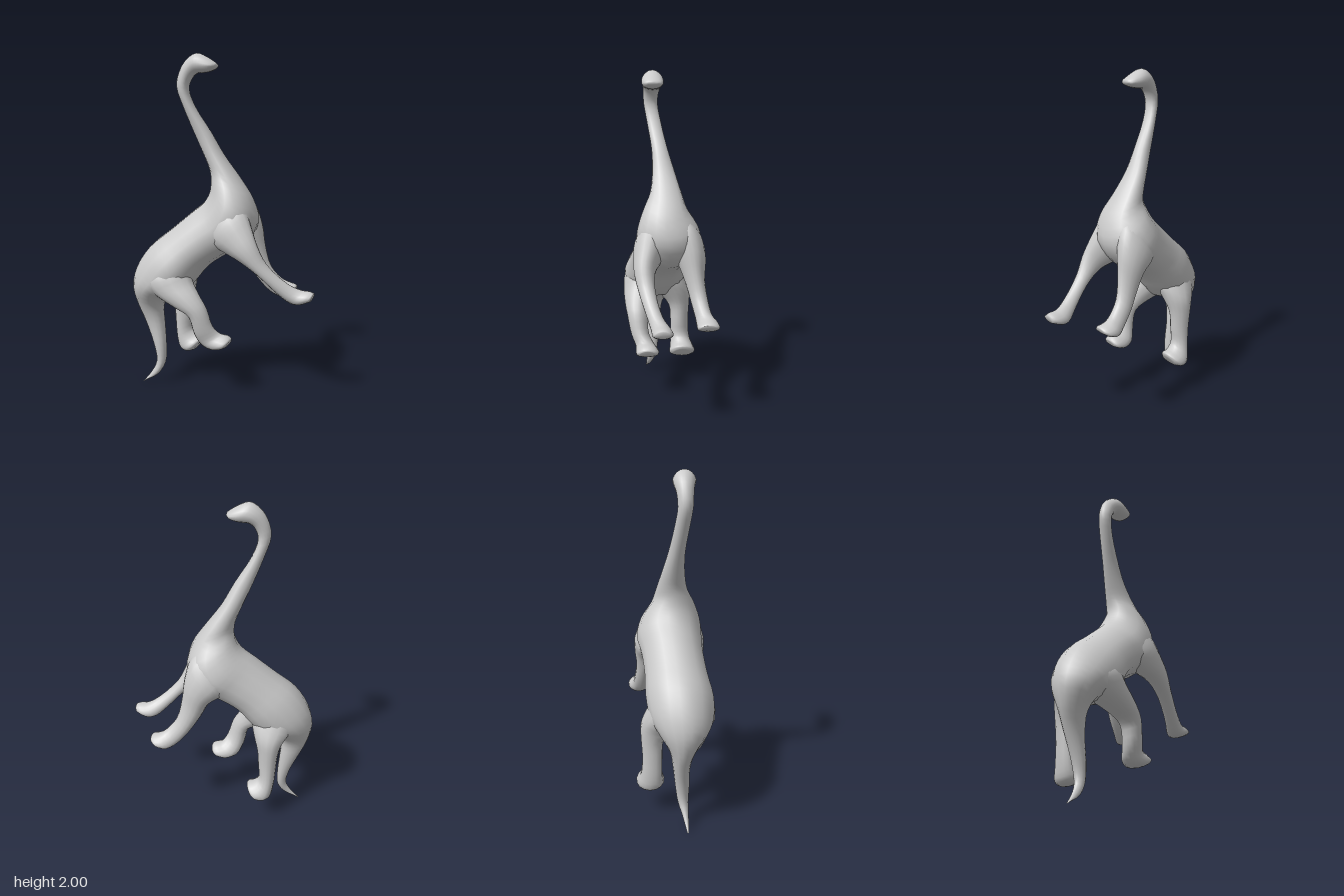
import * as THREE from 'three';

const material = new THREE.MeshStandardMaterial({ color: 0xcccccc });

// Smooth skin over egg-shaped sections, wider towards the belly. Each section is
// [back x, back y, belly x, belly y, centre z, half width in z].
function loft(name, sections, steps = 3, sides = 16) {
  const backs = new THREE.CatmullRomCurve3(sections.map(s => new THREE.Vector3(s[0], s[1], s[4])));
  const bellies = new THREE.CatmullRomCurve3(sections.map(s => new THREE.Vector3(s[2], s[3], s[5])));
  const rings = (sections.length - 1) * steps;
  const pos = [], index = [];
  for (let i = 0; i <= rings; i++) {
    const a = backs.getPoint(i / rings), b = bellies.getPoint(i / rings);
    for (let j = 0; j < sides; j++) {
      const t = (j / sides) * Math.PI * 2, c = Math.cos(t);
      pos.push((a.x + b.x + (a.x - b.x) * c) / 2,
        (a.y + b.y + (a.y - b.y) * c) / 2,
        a.z + b.z * Math.sin(t) * (1 - 0.15 * c));
    }
  }
  for (let i = 0; i < rings; i++) {
    for (let j = 0; j < sides; j++) {
      const k = (j + 1) % sides, p = i * sides, q = p + sides;
      index.push(p + j, p + k, q + j, p + k, q + k, q + j);
    }
  }
  // Close both ends with a fan
  for (const [ring, flip] of [[0, true], [rings, false]]) {
    const s = sections[ring ? sections.length - 1 : 0], centre = pos.length / 3, p = ring * sides;
    pos.push((s[0] + s[2]) / 2, (s[1] + s[3]) / 2, s[4]);
    for (let j = 0; j < sides; j++) {
      const k = (j + 1) % sides;
      index.push(centre, p + (flip ? k : j), p + (flip ? j : k));
    }
  }
  const geometry = new THREE.BufferGeometry();
  geometry.setAttribute('position', new THREE.Float32BufferAttribute(pos, 3));
  geometry.setIndex(index);
  geometry.computeVertexNormals();
  const mesh = new THREE.Mesh(geometry, material);
  mesh.name = name;
  return mesh;
}

const tail = [
  [-0.505, 0.0, -0.495, 0.005, 0.12, 0.006],
  [-0.45, 0.07, -0.405, 0.06, 0.105, 0.018],
  [-0.42, 0.14, -0.365, 0.13, 0.09, 0.03],
  [-0.44, 0.25, -0.36, 0.23, 0.085, 0.04],
  [-0.5, 0.4, -0.37, 0.38, 0.08, 0.05],
  [-0.54, 0.5, -0.375, 0.49, 0.088, 0.075],
];
const torso = [
  [-0.562, 0.62, -0.34, 0.56, 0.09, 0.132],
  [-0.535, 0.74, -0.24, 0.59, 0.08, 0.178],
  [-0.45, 0.87, -0.17, 0.66, 0.067, 0.192],
  [-0.33, 0.97, -0.09, 0.76, 0.045, 0.18],
  [-0.2, 1.08, 0.01, 0.83, 0.02, 0.18],
  [-0.12, 1.15, 0.12, 0.89, 0, 0.192],
  [-0.085, 1.21, 0.2, 1.02, 0.005, 0.175],
  [-0.075, 1.27, 0.175, 1.16, 0.02, 0.127],
];
const neckAndHead = [
  [-0.085, 1.33, 0.1, 1.28, 0.015, 0.092],
  [-0.12, 1.42, 0.0, 1.42, 0.025, 0.066],
  [-0.17, 1.54, -0.07, 1.55, 0.045, 0.048],
  [-0.23, 1.7, -0.16, 1.7, 0.075, 0.042],
  [-0.263, 1.82, -0.19, 1.8, 0.093, 0.042],
  [-0.235, 1.92, -0.17, 1.86, 0.09, 0.048],
  [-0.19, 1.975, -0.14, 1.885, 0.085, 0.058],
  [-0.14, 2.0, -0.11, 1.887, 0.085, 0.064],
  [-0.08, 1.978, -0.07, 1.892, 0.085, 0.062],
  [-0.035, 1.95, -0.035, 1.905, 0.085, 0.05],
  [-0.018, 1.937, -0.018, 1.92, 0.085, 0.025],
];

// Each leg runs from deep inside the body to the toes
const legs = {
  frontLeftLeg: [
    [0.05, 1.22, -0.1, 1.0, 0.06, 0.09],
    [0.15, 1.13, -0.05, 0.91, 0.095, 0.105],
    [0.205, 1.02, 0.05, 0.865, 0.125, 0.085],
    [0.248, 0.92, 0.145, 0.825, 0.147, 0.06],
    [0.3, 0.815, 0.25, 0.75, 0.135, 0.047],
    [0.42, 0.7, 0.36, 0.64, 0.095, 0.044],
    [0.49, 0.665, 0.43, 0.585, 0.065, 0.055],
    [0.54, 0.66, 0.48, 0.58, 0.06, 0.058],
    [0.562, 0.65, 0.545, 0.605, 0.06, 0.042],
  ],
  frontRightLeg: [
    [0.05, 1.22, -0.1, 1.0, -0.045, 0.08],
    [0.15, 1.13, -0.05, 0.91, -0.095, 0.105],
    [0.19, 1.0, 0.04, 0.85, -0.13, 0.083],
    [0.205, 0.87, 0.09, 0.76, -0.147, 0.058],
    [0.235, 0.74, 0.155, 0.66, -0.17, 0.05],
    [0.295, 0.665, 0.22, 0.585, -0.19, 0.05],
    [0.335, 0.64, 0.28, 0.55, -0.207, 0.063],
    [0.38, 0.625, 0.335, 0.56, -0.207, 0.063],
    [0.39, 0.615, 0.375, 0.585, -0.205, 0.042],
  ],
  hindLeftLeg: [
    [-0.23, 0.87, -0.5, 0.74, 0.08, 0.12],
    [-0.18, 0.78, -0.46, 0.65, 0.12, 0.142],
    [-0.155, 0.69, -0.37, 0.585, 0.158, 0.112],
    [-0.1, 0.61, -0.25, 0.53, 0.183, 0.08],
    [-0.05, 0.53, -0.155, 0.48, 0.185, 0.063],
    [-0.015, 0.42, -0.125, 0.37, 0.17, 0.055],
    [0.02, 0.375, -0.09, 0.3, 0.14, 0.06],
    [0.06, 0.365, -0.03, 0.275, 0.13, 0.07],
    [0.08, 0.35, 0.03, 0.285, 0.13, 0.065],
    [0.083, 0.34, 0.06, 0.3, 0.13, 0.045],
  ],
  hindRightLeg: [
    [-0.22, 0.85, -0.48, 0.74, 0.04, 0.11],
    [-0.19, 0.72, -0.45, 0.64, 0, 0.125],
    [-0.215, 0.62, -0.4, 0.57, -0.055, 0.1],
    [-0.245, 0.52, -0.375, 0.49, -0.088, 0.066],
    [-0.255, 0.4, -0.365, 0.38, -0.09, 0.058],
    [-0.26, 0.31, -0.355, 0.25, -0.095, 0.062],
    [-0.225, 0.275, -0.335, 0.175, -0.105, 0.077],
    [-0.19, 0.26, -0.29, 0.16, -0.105, 0.082],
    [-0.195, 0.235, -0.24, 0.175, -0.105, 0.057],
  ],
};

export function createModel() {
  const group = new THREE.Group();
  group.name = 'longNeckedDinosaur';
  // Tail, torso, neck and head share one continuous skin
  group.add(loft('body', [...tail, ...torso, ...neckAndHead]));
  for (const [name, sections] of Object.entries(legs)) group.add(loft(name, sections));
  return group;
}
